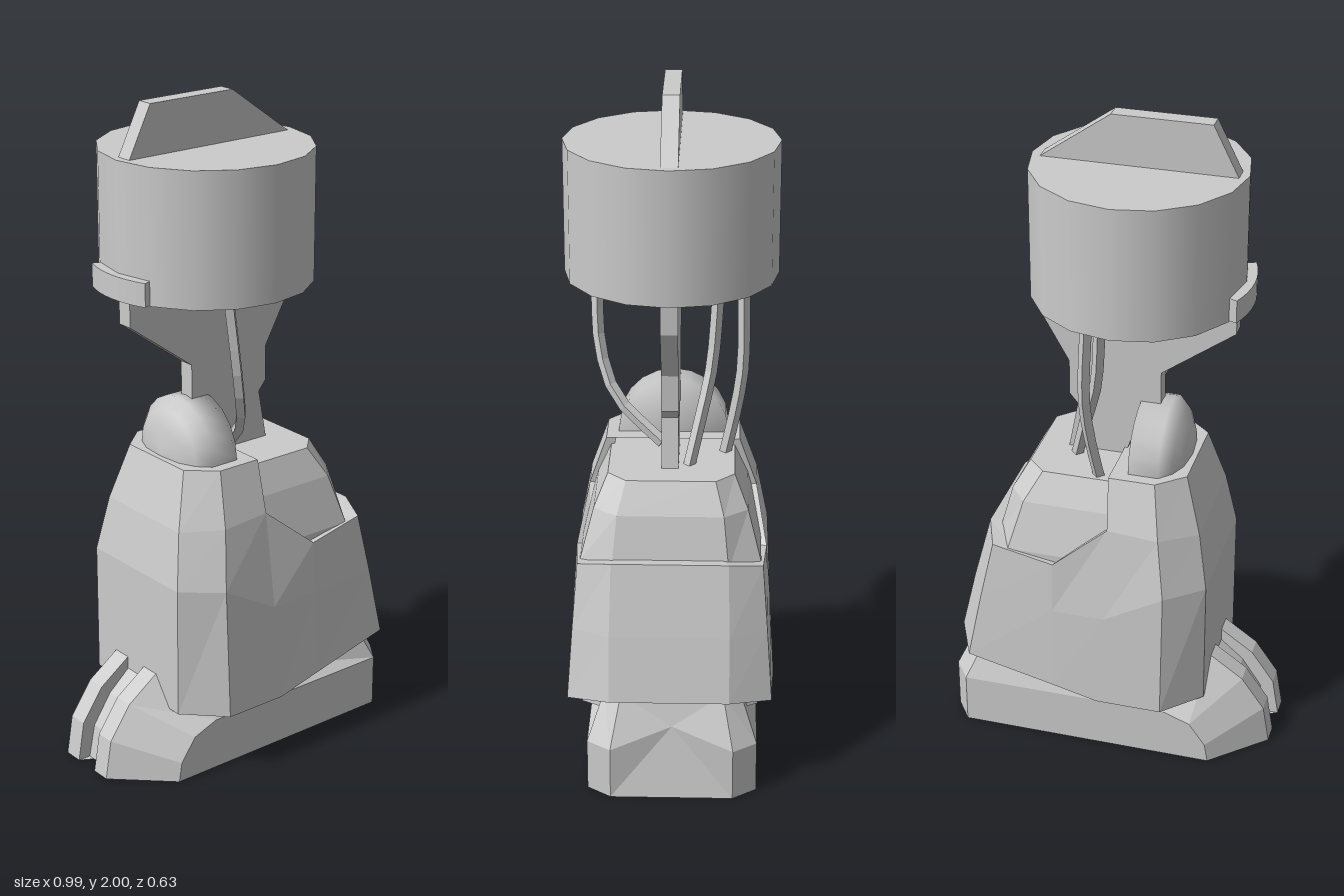
import * as THREE from 'three';

const grey = { color: 0xcccccc, side: THREE.DoubleSide };
const flat = new THREE.MeshStandardMaterial({ ...grey, flatShading: true });
const smooth = new THREE.MeshStandardMaterial(grey);

const mirror = ([x, y, z]) => [x, y, -z];
const transpose = (cols) => cols[0].map((_, i) => cols.map((c) => c[i]));

// Skin over rows of points; optional fans close the first and last row
function loft(rows, { closed = false, capStart = false, capEnd = false } = {}) {
  const pos = [];
  const tri = (...p) => p.forEach((q) => pos.push(...q));
  const n = rows[0].length;
  for (let i = 0; i < rows.length - 1; i++) {
    for (let j = 0; j < (closed ? n : n - 1); j++) {
      const k = (j + 1) % n;
      const [a, b, c, d] = [rows[i][j], rows[i][k], rows[i + 1][k], rows[i + 1][j]];
      tri(a, b, c);
      tri(a, c, d);
    }
  }
  const fan = (ring, flip) => {
    const mid = [0, 1, 2].map((k) => ring.reduce((s, p) => s + p[k], 0) / ring.length);
    ring.forEach((p, j) => {
      const q = ring[(j + 1) % ring.length];
      if (flip) tri(mid, q, p);
      else tri(mid, p, q);
    });
  };
  if (capStart) fan(rows[0], true);
  if (capEnd) fan(rows[rows.length - 1], false);
  const g = new THREE.BufferGeometry();
  g.setAttribute('position', new THREE.Float32BufferAttribute(pos, 3));
  g.computeVertexNormals();
  return g;
}

// Thin plate cut from an x/y outline
function plate(points, thickness) {
  const shape = new THREE.Shape(points.map((p) => new THREE.Vector2(...p)));
  const g = new THREE.ExtrudeGeometry(shape, { depth: thickness, bevelEnabled: false });
  return g.translate(0, 0, 0.005 - thickness / 2);
}

export function createModel() {
  const model = new THREE.Group();
  const add = (name, geometry, material = flat) => {
    const mesh = new THREE.Mesh(geometry, material);
    mesh.name = name;
    model.add(mesh);
    return mesh;
  };

  // Foot: side edge (S), top edge (C) and a groove of given depth down the toe
  const footSections = [
    { S: [-0.34, 0, 0.25], C: [-0.5, 0, 0.1], dx: 0.04, dy: 0 },
    { S: [-0.33, 0.06, 0.25], C: [-0.48, 0.12, 0.1], dx: 0.04, dy: 0.02 },
    { S: [-0.28, 0.13, 0.25], C: [-0.41, 0.22, 0.1], dx: 0.03, dy: 0.03 },
    { S: [-0.2, 0.16, 0.25], C: [-0.31, 0.29, 0.1], dx: 0.01, dy: 0.03 },
    { S: [0.44, 0.16, 0.25], C: [0.38, 0.3, 0.2], dx: 0, dy: 0 },
    { S: [0.49, 0.16, 0.18], C: [0.42, 0.31, 0.15], dx: 0, dy: 0 },
  ];
  const footRows = footSections.map(({ S, C, dx, dy }) => {
    const half = [
      [S[0], 0, S[2]], S, C,
      [C[0], C[1], 0.04], [C[0] + dx, C[1] - dy, 0.04],
    ];
    return [...half.map(mirror), ...half.reverse()];
  });
  add('foot', loft(footRows, { closed: true, capStart: true, capEnd: true }))
    .position.z = -0.008;

  // Shin core: chamfered rings [y, xMin, xMax, halfWidth, endHalfWidth]
  const coreRows = [
    [0.24, -0.24, 0.4, 0.26, 0.16],
    [0.68, -0.22, 0.34, 0.265, 0.17],
    [0.83, -0.18, 0.3, 0.225, 0.155],
    [0.92, -0.15, 0.25, 0.185, 0.13],
  ].map(([y, x0, x1, w, e]) => {
    const half = [[x0, y, e], [x0 + 0.06, y, w], [x1 - 0.055, y, w], [x1, y, e]];
    return [...half, ...half.map(mirror).reverse()];
  });
  add('shinCore', loft(coreRows, { closed: true, capStart: true, capEnd: true }));

  // Tall armour on the toe side, columns of points from bottom to top
  const tall = [
    [[-0.31, 0.2, 0.2], [-0.31, 0.6, 0.2], [-0.28, 0.77, 0.17], [-0.23, 0.94, 0.13]],
    [[-0.2, 0.2, 0.31], [-0.2, 0.6, 0.29], [-0.175, 0.78, 0.255], [-0.15, 0.94, 0.2]],
    [[0, 0.2, 0.31], [-0.02, 0.5, 0.295], [-0.02, 0.79, 0.252], [-0.01, 0.94, 0.2]],
  ];
  tall.push(tall[2].map(([x, y, z]) => [x, y, z * 0.85]));
  const tallCols = [...tall.map((c) => c.map(mirror)).reverse(), ...tall];
  add('toeSideArmour', loft(transpose(tallCols), { capEnd: true }));

  // Low armour wrapping the heel, with an inward rim
  const low = [
    [[0, 0.2, 0.31], [-0.02, 0.5, 0.295], [-0.02, 0.79, 0.252]],
    [[0.14, 0.235, 0.31], [0.14, 0.5, 0.295], [0.14, 0.66, 0.283]],
    [[0.41, 0.29, 0.3], [0.37, 0.5, 0.285], [0.33, 0.69, 0.27]],
    [[0.47, 0.31, 0.175], [0.425, 0.5, 0.175], [0.37, 0.71, 0.17]],
  ].map((c) => {
    const [x, y, z] = c[2];
    return [...c, [x * 0.88, y - 0.005, z * 0.88]];
  });
  const lowCols = [...low, ...low.map((c) => c.map(mirror)).reverse()];
  add('heelSideArmour', loft(transpose(lowCols)));

  // Underside closing the armour skirt
  const skirt = [tall[0], tall[1], ...low].map((c) => c[0]);
  const skirtRing = [...skirt, ...skirt.map(mirror).reverse()];
  add('skirtUnderside', loft([skirtRing], { capStart: true }));

  // Rounded ankle cap behind the neck plate
  const capProfile = [[0, -0.06], [0.165, -0.06], [0.165, -0.15], [0.13, -0.185], [0.08, -0.207], [0, -0.215]];
  const cap = new THREE.LatheGeometry(capProfile.map((p) => new THREE.Vector2(...p)), 20);
  add('roundCap', cap.rotateZ(-Math.PI / 2), smooth).position.y = 0.945;

  // Neck plate below the drum and fin above it
  add('neckPlate', plate([
    [-0.34, 1.47], [-0.34, 1.37], [-0.12, 1.21], [-0.12, 1.1], [-0.06, 1.07], [-0.01, 0.91],
    [0.165, 0.91], [0.135, 1.07], [0.16, 1.1], [0.16, 1.21], [0.25, 1.37], [0.25, 1.47],
  ], 0.05));
  add('topFin', plate([[-0.34, 1.84], [-0.26, 2], [0.03, 2], [0.24, 1.85], [0.24, 1.84]], 0.05));

  // Drum
  add('drum', new THREE.CylinderGeometry(0.313, 0.313, 0.395, 16), smooth)
    .position.set(-0.047, 1.655, 0.005);

  // Curved bracket hugging the drum
  const arc = new THREE.Shape();
  arc.absarc(0, 0, 0.337, Math.PI - 0.38, Math.PI + 0.38, false);
  arc.absarc(0, 0, 0.295, Math.PI + 0.38, Math.PI - 0.38, true);
  const bracket = new THREE.ExtrudeGeometry(arc, { depth: 0.07, bevelEnabled: false, curveSegments: 4 });
  add('drumBracket', bracket.rotateX(-Math.PI / 2)).position.set(-0.047, 1.46, 0.005);

  // Cables hanging from the drum to the shin
  [
    [[-0.145, 1.47, 0.23], [-0.1, 1.2, 0.22], [-0.05, 1.06, 0.17], [0.02, 0.94, 0.03]],
    [[0.03, 1.47, -0.135], [0.05, 1.2, -0.115], [0.09, 1.06, -0.085], [0.13, 0.91, -0.05]],
    [[0.05, 1.47, -0.205], [0.06, 1.2, -0.205], [0.05, 1.06, -0.185], [0.03, 0.91, -0.155]],
  ].forEach((pts, i) => {
    const curve = new THREE.CatmullRomCurve3(pts.map((p) => new THREE.Vector3(...p)));
    add(`cable${i + 1}`, new THREE.TubeGeometry(curve, 8, 0.018, 4));
  });

  return model;
}
